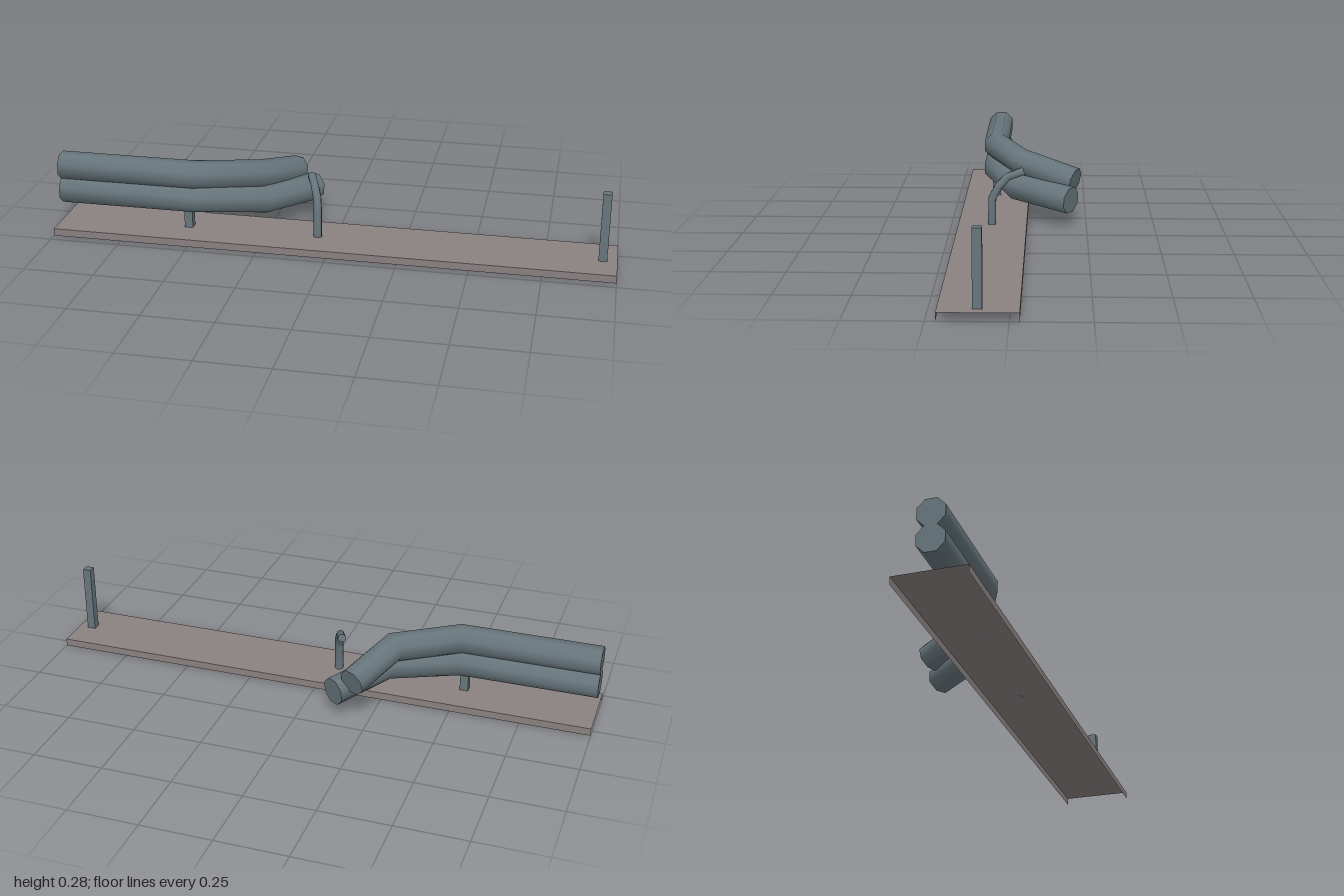
import * as THREE from 'three';

const V = (x, y, z) => new THREE.Vector3(x, y, z);

// Solid eight-sided pipe along a path, with mitred bends and flat end caps
function pipeGeometry(path, apothem, ref) {
  const n = 8, radius = apothem / Math.cos(Math.PI / n);
  const pos = [], idx = [];
  const dirs = path.slice(1).map((p, j) => p.clone().sub(path[j]).normalize());
  const rings = path.map((c, j) => {
    const d = dirs[Math.max(0, j - 1)];
    const plane = d.clone().add(dirs[Math.min(j, dirs.length - 1)]).normalize();
    const side = d.clone().cross(ref).normalize();
    const up = side.clone().cross(d);
    return Array.from({ length: n }, (_, i) => {
      const a = (i + 0.5) / n * Math.PI * 2;
      const o = side.clone().multiplyScalar(radius * Math.cos(a)).addScaledVector(up, radius * Math.sin(a));
      o.addScaledVector(d, -o.dot(plane) / d.dot(plane));
      return o.add(c);
    });
  });
  rings.forEach(r => r.forEach(p => pos.push(p.x, p.y, p.z)));
  for (let j = 0; j < rings.length - 1; j++) {
    for (let i = 0; i < n; i++) {
      const a = j * n + i, b = j * n + (i + 1) % n;
      idx.push(a, a + n, b, b, a + n, b + n);
    }
  }
  // Caps have their own vertices so that their rims stay sharp
  [rings[0], rings[rings.length - 1]].forEach((ring, end) => {
    const s = pos.length / 3;
    ring.forEach(p => pos.push(p.x, p.y, p.z));
    for (let i = 1; i < n - 1; i++) {
      if (end) idx.push(s, s + i + 1, s + i);
      else idx.push(s, s + i, s + i + 1);
    }
  });
  const g = new THREE.BufferGeometry();
  g.setAttribute('position', new THREE.Float32BufferAttribute(pos, 3));
  g.setIndex(idx);
  g.computeVertexNormals();
  return g;
}

export function createModel() {
  const model = new THREE.Group();
  const steel = new THREE.MeshStandardMaterial({ color: 0x66757b });
  steel.name = 'blue grey steel';
  const sheet = new THREE.MeshStandardMaterial({ color: 0x8a8080, side: THREE.DoubleSide });
  sheet.name = 'warm grey sheet';

  const add = (name, geometry, material, parent = model) => {
    const mesh = new THREE.Mesh(geometry, material);
    mesh.name = name;
    parent.add(mesh);
    return mesh;
  };

  // Base: thin channel with a flange folded down along each long edge
  const top = 0.027, back = -0.031, front = 0.218;
  const base = new THREE.Group();
  base.name = 'base';
  model.add(base);
  add('baseTop', new THREE.PlaneGeometry(2, front - back).rotateX(-Math.PI / 2), sheet, base)
    .position.set(0, top, (front + back) / 2);
  add('frontFlange', new THREE.PlaneGeometry(2, top), sheet, base).position.set(0, top / 2, front);
  add('backFlange', new THREE.PlaneGeometry(2, top).rotateY(Math.PI), sheet, base).position.set(0, top / 2, back);

  // Twin pipes, running straight and then bending to the back
  const up = V(0, 1, 0);
  add('upperPipe', pipeGeometry([
    V(-1, 0.228, 0.095), V(-0.505, 0.228, 0.095), V(-0.285, 0.208, -0.008), V(-0.193, 0.156, -0.207),
  ], 0.047, up), steel);
  add('lowerPipe', pipeGeometry([
    V(-1, 0.137, 0.095), V(-0.505, 0.137, 0.095), V(-0.26, 0.122, 0.013), V(-0.122, 0.1, -0.192),
  ], 0.047, up), steel);

  // Square posts: a tall one at the far end, a short one under the pipes
  const post = (name, x, topY) =>
    add(name, new THREE.BoxGeometry(0.03, topY - top, 0.03), steel).position.set(x, (top + topY) / 2, 0.096);
  post('tallPost', 0.95, 0.275);
  post('pipeSupport', -0.525, 0.12);

  // Curved arm rising from the base
  add('curvedArm', pipeGeometry([
    V(-0.052, top, 0.096), V(-0.052, 0.125, 0.094), V(-0.06, 0.168, 0.07),
    V(-0.074, 0.198, 0.04), V(-0.097, 0.214, -0.015),
  ], 0.014, V(1, 0, 0)), steel);

  return model;
}
